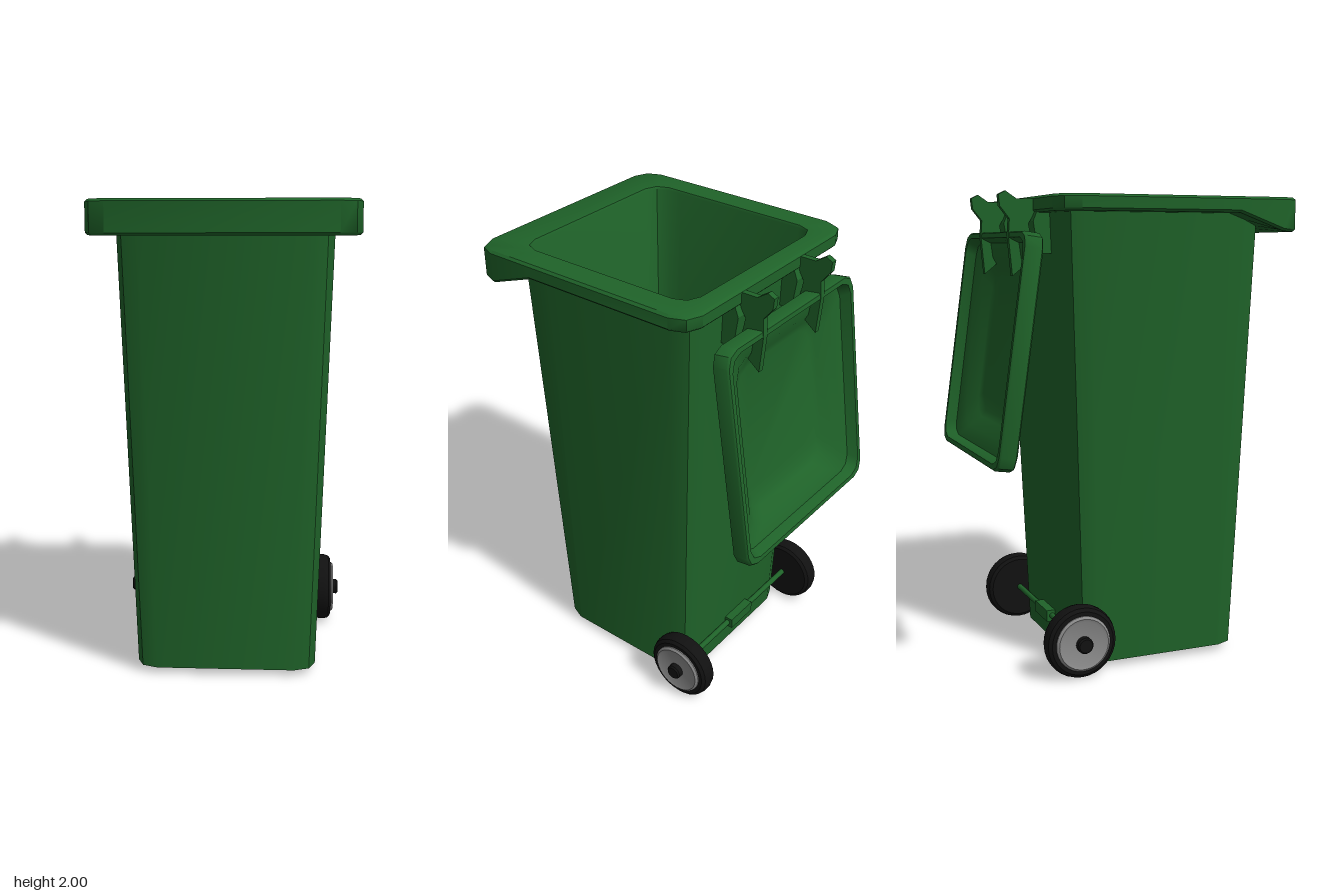
import * as THREE from 'three';
import { toCreasedNormals } from 'three/addons/utils/BufferGeometryUtils.js';

const green = new THREE.MeshStandardMaterial({ color: 0x1f6329 });
const black = new THREE.MeshStandardMaterial({ color: 0x111111 });
const grey = new THREE.MeshStandardMaterial({ color: 0x8a8a8a });

// Rounded rectangle in plan; y is a number or a function of z.
// zSide adds one extra point on each long side.
function ring(hx, z0, z1, r, y, zSide) {
  const pts = [];
  const add = (x, z) => pts.push([x, typeof y === 'function' ? y(z) : y, z]);
  const corners = [[hx - r, z1 - r], [r - hx, z1 - r], [r - hx, z0 + r], [hx - r, z0 + r]];
  corners.forEach(([cx, cz], c) => {
    for (let s = 0; s <= 2; s++) {
      const a = (c + s / 2) * Math.PI / 2;
      add(cx + r * Math.cos(a), cz + r * Math.sin(a));
    }
    if (zSide !== undefined && c === 1) add(-hx, zSide);
    if (zSide !== undefined && c === 3) add(hx, zSide);
  });
  return pts;
}

// Skin a list of rings and close both ends
function loft(rings) {
  const n = rings[0].length;
  const pos = rings.flat(2);
  const idx = [];
  for (let k = 0; k < rings.length - 1; k++) {
    for (let i = 0; i < n; i++) {
      const a = k * n + i, b = k * n + (i + 1) % n;
      idx.push(a, a + n, b, b, a + n, b + n);
    }
  }
  const last = (rings.length - 1) * n;
  for (let i = 1; i < n - 1; i++) {
    idx.push(0, i, i + 1);
    idx.push(last, last + i + 1, last + i);
  }
  const g = new THREE.BufferGeometry();
  g.setAttribute('position', new THREE.Float32BufferAttribute(pos, 3));
  g.setIndex(idx);
  return toCreasedNormals(g, 0.75);
}

function part(parent, name, geometry, material, x = 0, y = 0, z = 0) {
  const m = new THREE.Mesh(geometry, material);
  m.name = name;
  m.position.set(x, y, z);
  parent.add(m);
  return m;
}

// Side profile given as [z, y], extruded to a width centred on x = 0
function sidePlate(points, width) {
  const shape = new THREE.Shape(points.map(([z, y]) => new THREE.Vector2(-z, y)));
  const g = new THREE.ExtrudeGeometry(shape, { depth: width, bevelEnabled: false });
  g.translate(0, 0, -width / 2);
  return g.rotateY(Math.PI / 2);
}

export function createModel() {
  const model = new THREE.Group();
  model.name = 'wheeledBin';

  // Hollow tapered body with a rim whose skirt drops at the front
  const zs = 0.36;
  const skirt = z => 1.915 - 0.075 * THREE.MathUtils.clamp((z - zs) / 0.21, 0, 1);
  part(model, 'body', loft([
    ring(0.38, -0.285, 0.46, 0.09, 0.03, zs),
    ring(0.44, -0.36, 0.53, 0.1, skirt, zs),
    ring(0.53, -0.41, 0.645, 0.08, skirt, zs),
    ring(0.54, -0.42, 0.655, 0.09, z => skirt(z) + 0.01, zs),
    ring(0.54, -0.42, 0.655, 0.09, 1.97, zs),
    ring(0.53, -0.41, 0.645, 0.085, 1.98, zs),
    ring(0.425, -0.335, 0.505, 0.075, 1.98, zs),
    ring(0.42, -0.33, 0.50, 0.07, 1.97, zs),
    ring(0.34, -0.245, 0.435, 0.06, 0.08, zs),
  ]), green);

  // Open lid hanging behind: hollow towards the back, raised panel towards the body
  const L = 0.955;
  const lidRing = (hx, inset, r, h) => ring(hx, inset, L - inset, r, h);
  const lid = part(model, 'lid', loft([
    lidRing(0.25, 0.18, 0.07, 0.112),
    lidRing(0.275, 0.15, 0.08, 0.1),
    lidRing(0.32, 0.1, 0.08, 0.062),
    lidRing(0.40, 0.04, 0.06, 0.045),
    lidRing(0.41, 0.03, 0.06, 0.012),
    lidRing(0.415, 0.025, 0.06, 0),
    lidRing(0.435, 0.005, 0.06, 0),
    lidRing(0.44, 0, 0.06, 0.008),
    lidRing(0.44, 0, 0.06, 0.07),
    lidRing(0.43, 0.01, 0.06, 0.078),
    lidRing(0.31, 0.118, 0.09, 0.078),
    lidRing(0.285, 0.15, 0.08, 0.124),
  ]), green, 0, 1.84, -0.52);
  lid.rotation.x = 1.712;

  // Hinge arms and the brackets that carry them
  const arm = sidePlate([
    [-0.41, 1.97], [-0.49, 1.97], [-0.535, 2.0], [-0.565, 1.985], [-0.56, 1.94],
    [-0.52, 1.89], [-0.525, 1.82], [-0.51, 1.66], [-0.46, 1.70], [-0.42, 1.77],
    [-0.44, 1.87], [-0.41, 1.92],
  ], 0.026);
  const bracket = sidePlate([
    [-0.34, 1.93], [-0.41, 1.93], [-0.43, 1.88], [-0.41, 1.75], [-0.34, 1.75],
  ], 0.09);
  for (const s of [1, -1]) {
    const side = s > 0 ? 'left' : 'right';
    part(model, side + 'HingeArm', arm, green, s * 0.2);
    part(model, side + 'HingeBracket', bracket, green, s * 0.2);
  }

  // Wheels: lathed tyre, dished hub and axle cap
  const lathe = pts => {
    const g = new THREE.LatheGeometry(pts.map(([r, y]) => new THREE.Vector2(r, y)), 32);
    return toCreasedNormals(g.rotateZ(-Math.PI / 2), 0.6);
  };
  const tyre = lathe([[0, -0.04], [0.135, -0.04], [0.149, -0.03], [0.155, -0.01],
    [0.155, 0.01], [0.149, 0.03], [0.135, 0.04], [0, 0.04]]);
  const hub = lathe([[0.118, 0], [0.118, 0.045], [0.108, 0.053], [0.095, 0.048], [0, 0.048]]);
  const cap = lathe([[0.034, 0], [0.034, 0.07], [0.028, 0.077], [0, 0.077]]);
  for (const s of [1, -1]) {
    const wheel = new THREE.Group();
    wheel.name = s > 0 ? 'leftWheel' : 'rightWheel';
    wheel.position.set(s * 0.423, 0.157, -0.305);
    if (s < 0) wheel.rotation.y = Math.PI;
    part(wheel, 'tyre', tyre, black);
    part(wheel, 'hub', hub, grey);
    part(wheel, 'axleCap', cap, black);
    model.add(wheel);
  }

  // Axle rod held by a clip on the back of the body
  const rod = new THREE.CylinderGeometry(0.013, 0.013, 0.8, 12).rotateZ(Math.PI / 2);
  part(model, 'axle', rod, green, 0, 0.157, -0.305);
  part(model, 'axleClip', new THREE.BoxGeometry(0.16, 0.05, 0.05), green, 0, 0.157, -0.305);

  return model;
}
